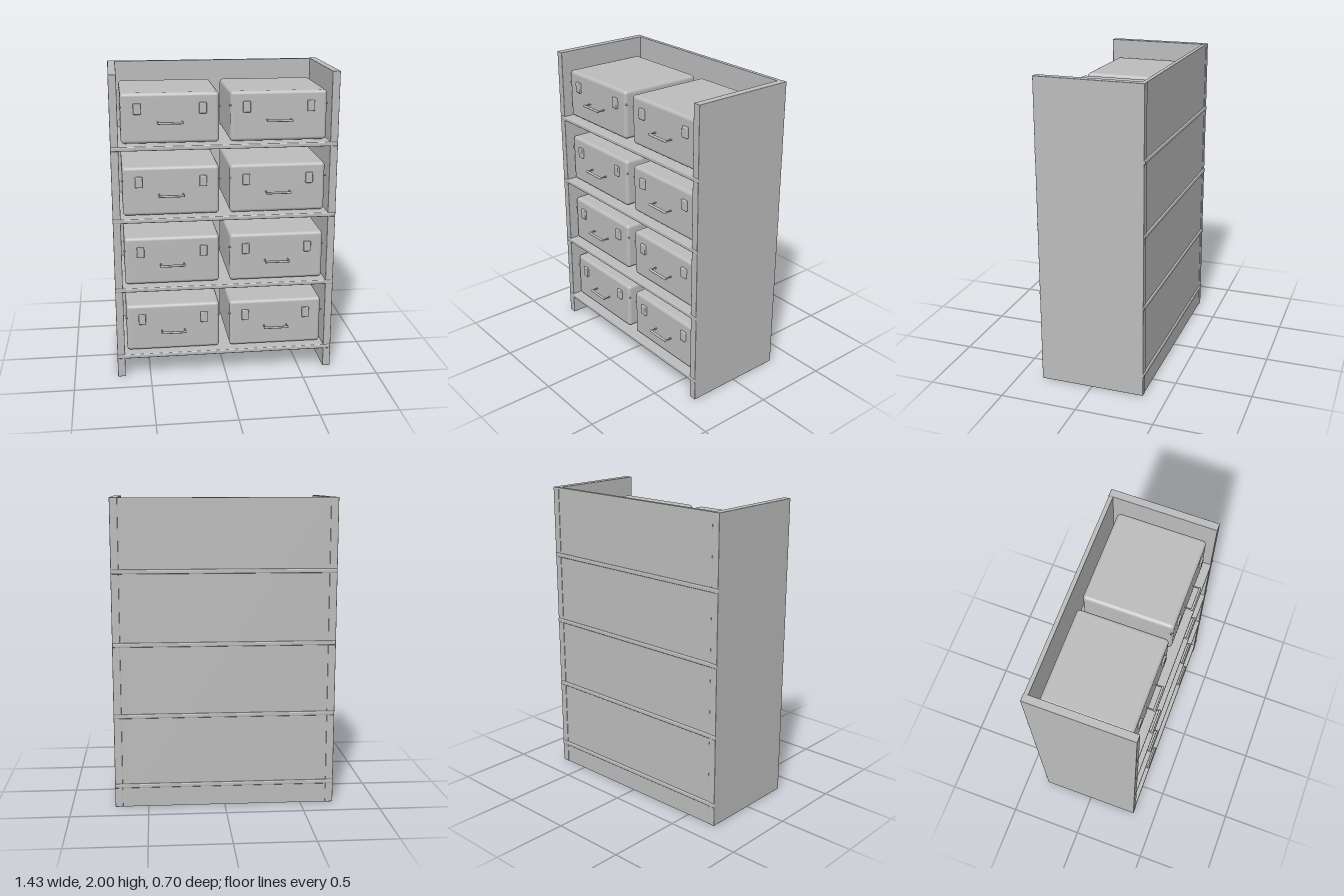
import * as THREE from 'three';
import { RoundedBoxGeometry } from 'three/addons/geometries/RoundedBoxGeometry.js';

export function createModel() {
  const grey = new THREE.MeshStandardMaterial({ color: 0xbcbcbc });
  grey.name = 'light grey';
  const rack = new THREE.Group();
  rack.name = 'storageRack';

  const add = (parent, name, geometry, x, y, z) => {
    const mesh = new THREE.Mesh(geometry, grey);
    mesh.name = name;
    mesh.position.set(x, y, z);
    parent.add(mesh);
    return mesh;
  };

  // Upright side panels and back panel
  for (const s of [-1, 1]) {
    add(rack, s > 0 ? 'leftPanel' : 'rightPanel',
      new RoundedBoxGeometry(0.05, 2, 0.689, 1, 0.003), s * 0.692, 1, -0.0015);
  }
  add(rack, 'backPanel', new THREE.BoxGeometry(1.336, 1.998, 0.026), 0, 1, -0.33);

  // One case: rounded body, two latches, side pins and a bail handle
  const bodyGeo = new RoundedBoxGeometry(0.615, 0.317, 0.573, 3, 0.022);
  const latchGeo = new RoundedBoxGeometry(0.048, 0.07, 0.03, 2, 0.006);
  const pinGeo = new THREE.CylinderGeometry(0.006, 0.006, 0.628, 10).rotateZ(Math.PI / 2);
  const gripGeo = new RoundedBoxGeometry(0.166, 0.015, 0.015, 2, 0.006);
  const postGeo = new THREE.CylinderGeometry(0.005, 0.005, 0.055, 8).rotateX(Math.PI / 2);

  function makeCase() {
    const box = new THREE.Group();
    box.name = 'case';
    add(box, 'caseBody', bodyGeo, 0, 0.1585, 0.0095);
    add(box, 'sidePins', pinGeo, 0, 0.23, 0.285);
    add(box, 'handleGrip', gripGeo, 0, 0.136, 0.3435);
    for (const s of [-1, 1]) {
      add(box, 'latch', latchGeo, s * 0.204, 0.22, 0.294);
      add(box, 'handlePost', postGeo, s * 0.076, 0.136, 0.315);
    }
    return box;
  }

  // Four shelves, each carrying a pair of cases
  const shelfGeo = new RoundedBoxGeometry(1.432, 0.028, 0.699, 2, 0.007);
  for (let row = 0; row < 4; row++) {
    const y = 0.142 + row * 0.466;
    add(rack, 'shelf', shelfGeo, 0, y, -0.0025);
    for (const s of [-1, 1]) {
      const box = makeCase();
      box.position.set(s * 0.342, y + 0.021, 0);
      rack.add(box);
    }
  }
  return rack;
}
